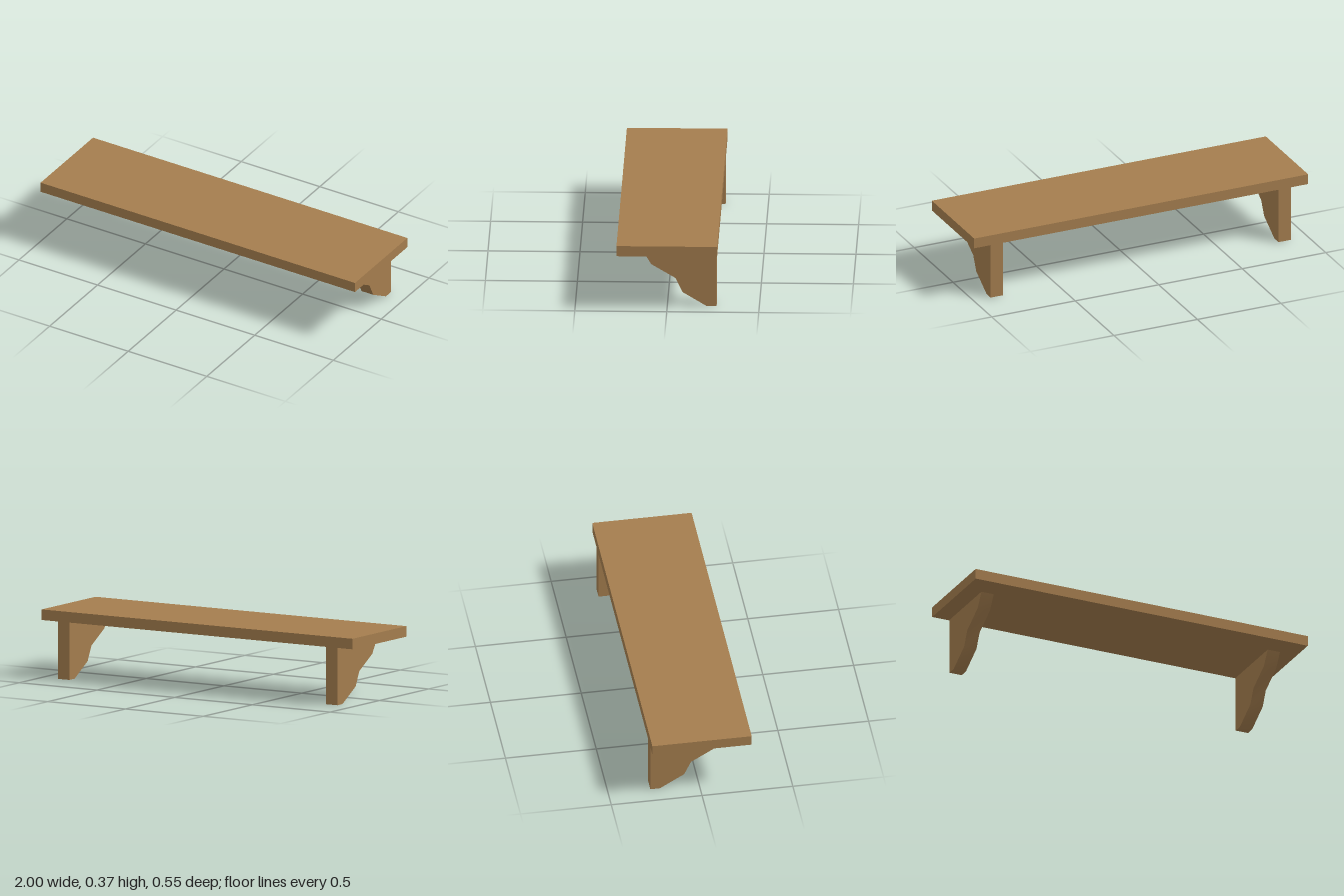
import * as THREE from 'three';
import { toCreasedNormals } from 'three/addons/utils/BufferGeometryUtils.js';

const WIDTH = 2, DEPTH = 0.547, TOP = 0.374, UNDERSIDE = 0.316;
const BRACKET_X = 0.862, BRACKET_THICKNESS = 0.074;

// Bracket side profile as (z, y), with a stepped front edge
const PROFILE = [
  [-0.268, 0], [-0.215, 0], [-0.082, 0.08], [-0.044, 0.16],
  [0.087, 0.238], [0.135, UNDERSIDE], [-0.268, UNDERSIDE],
];

function bracketGeometry() {
  const shape = new THREE.Shape(PROFILE.map(([z, y]) => new THREE.Vector2(z, y)));
  const geometry = new THREE.ExtrudeGeometry(shape, { depth: BRACKET_THICKNESS, bevelEnabled: false });
  geometry.translate(0, 0, -BRACKET_THICKNESS / 2);
  geometry.rotateY(-Math.PI / 2);
  // Soften the stepped edge, keep the other corners sharp
  return toCreasedNormals(geometry, THREE.MathUtils.degToRad(40));
}

export function createModel() {
  const model = new THREE.Group();
  model.name = 'wallShelf';
  const wood = new THREE.MeshStandardMaterial({ color: 0xa47d4e });
  wood.name = 'wood';

  // Shelf board
  const board = new THREE.Mesh(new THREE.BoxGeometry(WIDTH, TOP - UNDERSIDE, DEPTH), wood);
  board.name = 'shelfBoard';
  board.position.y = (TOP + UNDERSIDE) / 2;
  model.add(board);

  // Matching pair of support brackets
  const geometry = bracketGeometry();
  for (const [name, side] of [['leftBracket', 1], ['rightBracket', -1]]) {
    const bracket = new THREE.Mesh(geometry, wood);
    bracket.name = name;
    bracket.position.x = side * BRACKET_X;
    model.add(bracket);
  }
  return model;
}
